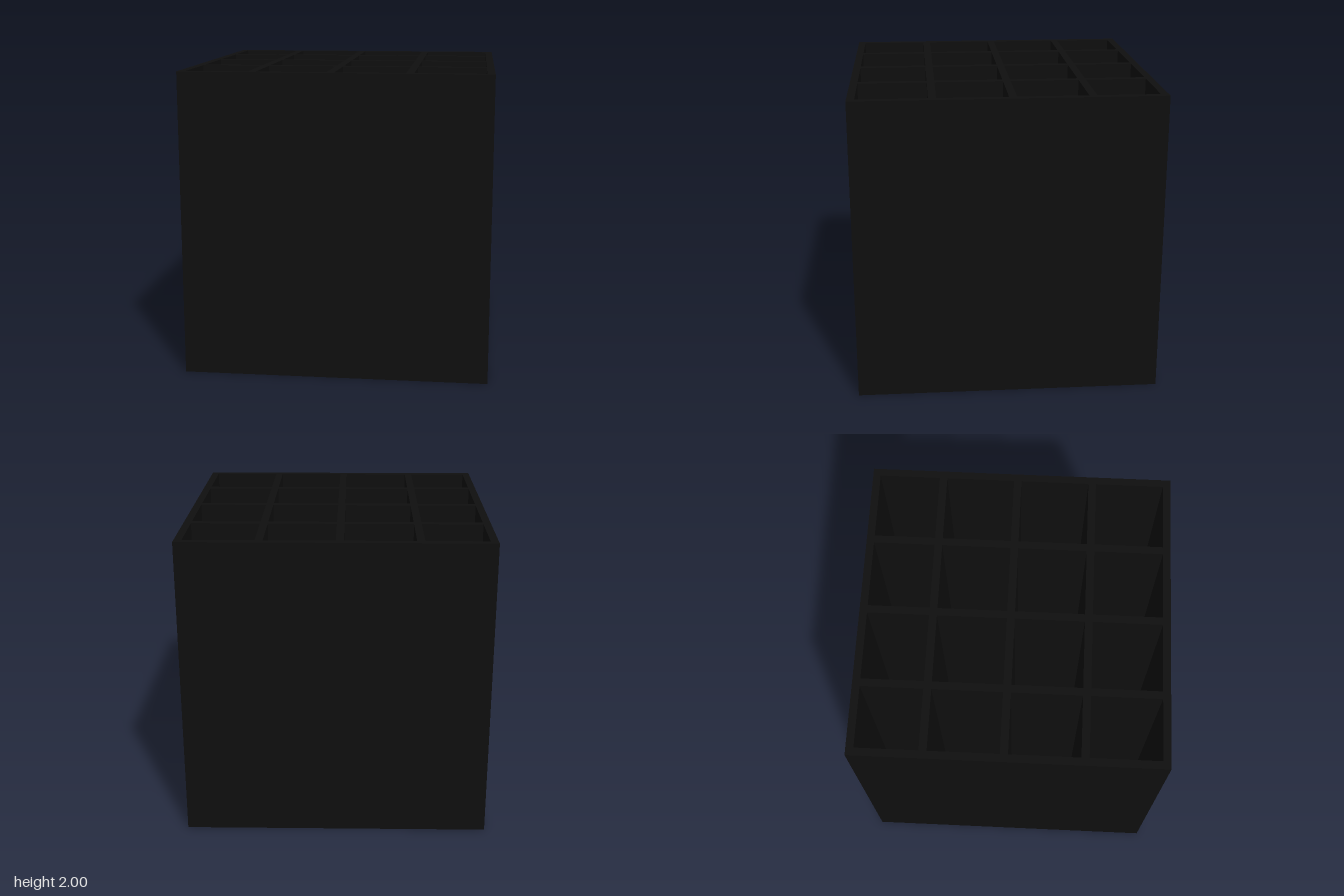
import * as THREE from 'three';

const SIZE = 2, WALL = 0.05, FLOOR = 0.05;

// Axis-aligned rectangle as a list of corners
function rect(x0, y0, x1, y1) {
  return [[x0, y0], [x1, y0], [x1, y1], [x0, y1]].map(([x, y]) => new THREE.Vector2(x, y));
}

export function createModel() {
  const group = new THREE.Group();
  group.name = 'compartmentBox';
  const black = new THREE.MeshStandardMaterial({ color: 0x0f0f0f });
  black.name = 'black';

  // Open spans between the outer walls and the three dividers, same along x and z
  const cells = [[-0.95, -0.55], [-0.5, -0.05], [0, 0.45], [0.5, 0.95]];

  // Outer walls and dividers: a square with a 4 x 4 grid of holes, extruded upwards
  const half = SIZE / 2;
  const outline = new THREE.Shape(rect(-half, -half, half, half));
  for (const [x0, x1] of cells) {
    for (const [z0, z1] of cells) {
      outline.holes.push(new THREE.Path(rect(x0, -z1, x1, -z0).reverse()));
    }
  }
  const wallGeometry = new THREE.ExtrudeGeometry(outline, { depth: SIZE - FLOOR, bevelEnabled: false });
  wallGeometry.rotateX(-Math.PI / 2);
  const walls = new THREE.Mesh(wallGeometry, black);
  walls.name = 'wallsAndDividers';
  walls.position.y = FLOOR;
  group.add(walls);

  // Floor closing the compartments
  const floor = new THREE.Mesh(new THREE.BoxGeometry(SIZE, FLOOR, SIZE), black);
  floor.name = 'floor';
  floor.position.y = FLOOR / 2;
  group.add(floor);

  return group;
}
